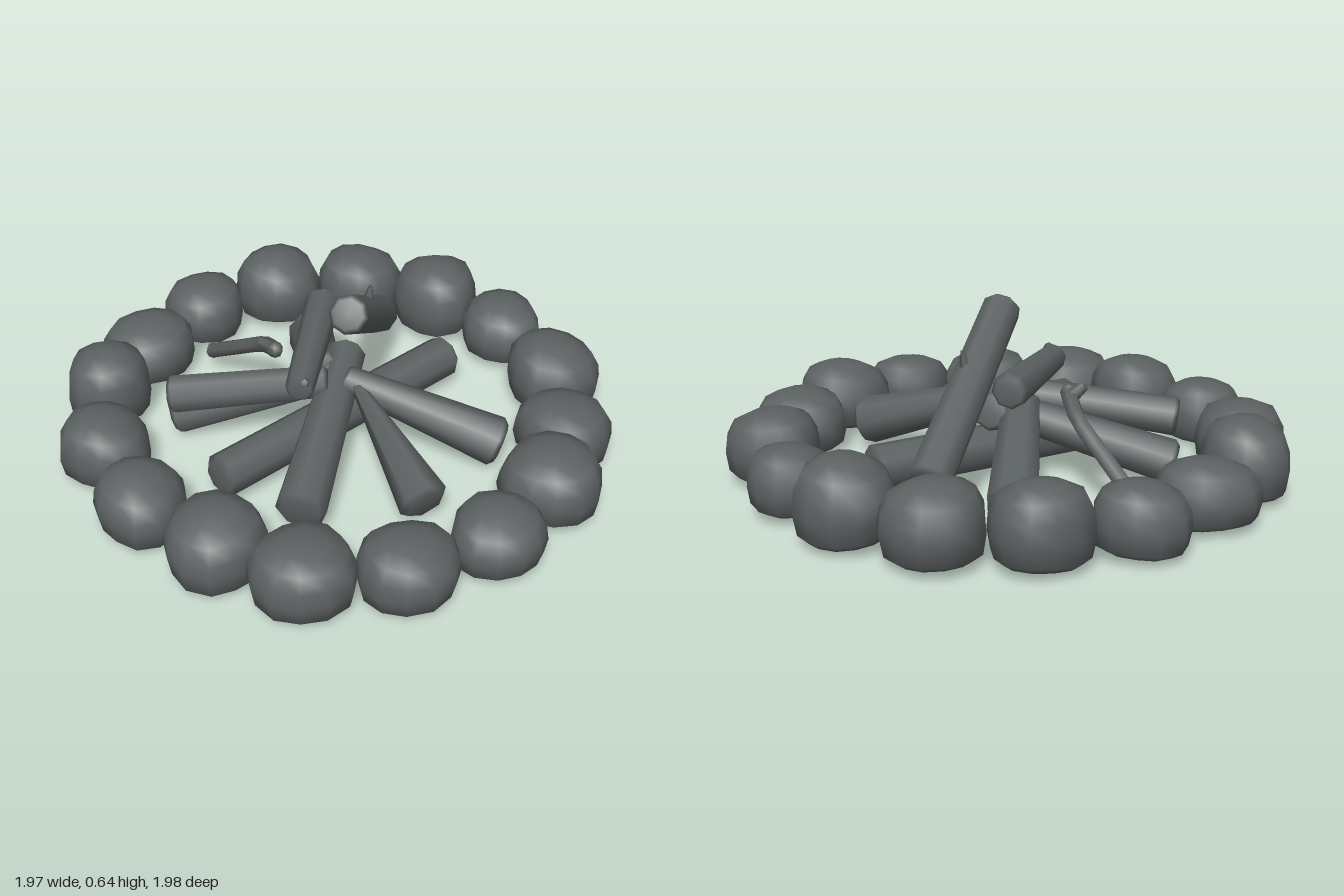
import * as THREE from 'three';
import { mergeVertices } from 'three/addons/utils/BufferGeometryUtils.js';

const stoneGrey = new THREE.MeshStandardMaterial({ color: 0x5c6161 });
stoneGrey.name = 'charcoalGrey';

const V = (a) => new THREE.Vector3(...a);

// Weld the seam of a moved geometry and smooth it
function smooth(geo) {
  geo.deleteAttribute('uv');
  geo.deleteAttribute('normal');
  const g = mergeVertices(geo, 1e-4);
  g.computeVertexNormals();
  return g;
}

// Rounded stone with a flat base and slightly lumpy sides
function stone(x, z, rx, rz, bottom, top, seed) {
  const profile = [[0, 0], [0.72, 0], [0.93, 0.1], [1, 0.38], [0.96, 0.62], [0.8, 0.84], [0.45, 0.96], [0, 1]];
  const geo = new THREE.LatheGeometry(profile.map((p) => new THREE.Vector2(...p)), 12);
  const pos = geo.attributes.position;
  for (let i = 0; i < pos.count; i++) {
    const px = pos.getX(i), py = pos.getY(i), pz = pos.getZ(i);
    const r = Math.hypot(px, pz);
    const a = r > 1e-4 ? Math.atan2(pz, px) : 0;
    const k = 1 + r * (0.035 * Math.sin(3 * a + seed * 2.1) + 0.025 * Math.cos(4 * a + seed * 1.3 + py * 2));
    const lift = py > 0.5 ? 0.05 * r * Math.sin(a + seed * 1.7) : 0.03 * r * Math.cos(2 * a + seed);
    pos.setXYZ(i, px * k * rx, (py + lift) * (top - bottom), pz * k * rz);
  }
  const mesh = new THREE.Mesh(smooth(geo), stoneGrey);
  mesh.name = 'ringStone';
  mesh.position.set(x, bottom, z);
  return mesh;
}

// Log between two points with chamfered ends
function log(name, from, to, r0, r1, sides = 8) {
  const a = V(from), dir = V(to).sub(a), len = dir.length();
  const c0 = r0 * 0.22, c1 = r1 * 0.22;
  const pts = [[0, 0], [r0 * 0.78, 0], [r0, c0], [r1, len - c1], [r1 * 0.78, len], [0, len]];
  const geo = new THREE.LatheGeometry(pts.map((p) => new THREE.Vector2(...p)), sides);
  const mesh = new THREE.Mesh(geo, stoneGrey);
  mesh.name = name;
  mesh.position.copy(a);
  mesh.quaternion.setFromUnitVectors(new THREE.Vector3(0, 1, 0), dir.normalize());
  return mesh;
}

export function createModel() {
  const model = new THREE.Group();
  model.name = 'campfire';

  // Ring of stones: x, z, half width, half depth, base, top
  const ring = new THREE.Group();
  ring.name = 'stoneRing';
  [
    [-0.16, -0.845, 0.16, 0.155, 0.03, 0.25],
    [0.17, -0.835, 0.17, 0.165, 0.03, 0.29],
    [0.475, -0.71, 0.17, 0.175, 0.03, 0.28],
    [0.69, -0.465, 0.165, 0.18, 0.03, 0.3],
    [0.81, -0.165, 0.15, 0.165, 0.04, 0.25],
    [0.81, 0.18, 0.17, 0.18, 0.03, 0.27],
    [0.655, 0.475, 0.17, 0.18, 0.03, 0.24],
    [0.44, 0.7, 0.175, 0.18, 0.035, 0.27],
    [0.14, 0.835, 0.165, 0.155, 0.03, 0.23],
    [-0.185, 0.82, 0.18, 0.16, 0.02, 0.23],
    [-0.495, 0.68, 0.18, 0.18, 0.02, 0.24],
    [-0.69, 0.435, 0.17, 0.175, 0.02, 0.26],
    [-0.825, 0.13, 0.155, 0.165, 0.02, 0.24],
    [-0.82, -0.21, 0.16, 0.18, 0.02, 0.25],
    [-0.69, -0.52, 0.155, 0.16, 0.03, 0.3],
    [-0.455, -0.7, 0.18, 0.165, 0.03, 0.24],
  ].forEach((s, i) => ring.add(stone(...s, i + 1)));
  model.add(ring);

  // Logs leaning together: outer end, inner end, radii
  const logs = new THREE.Group();
  logs.name = 'logPile';
  [
    ['crossLog', [-0.54, 0.11, 0.13], [0.53, 0.12, -0.12], 0.08, 0.08],
    ['frontLeftLog', [0.42, 0.11, 0.43], [0.0, 0.29, 0.04], 0.09, 0.05],
    ['frontLog', [0.02, 0.1, 0.58], [0.02, 0.29, 0.08], 0.09, 0.02, 6],
    ['frontRightLog', [-0.38, 0.11, 0.43], [0.1, 0.28, -0.12], 0.09, 0.07],
    ['backRightLog', [-0.52, 0.085, -0.31], [0.02, 0.26, -0.03], 0.08, 0.06],
    ['backRightUpperLog', [-0.56, 0.23, -0.24], [-0.06, 0.29, 0.03], 0.07, 0.06],
    ['backLog', [0.16, 0.085, -0.54], [-0.04, 0.28, -0.05], 0.09, 0.07],
    ['tallLog', [0.41, 0.16, -0.43], [-0.02, 0.6, 0.1], 0.075, 0.07],
    ['topLog', [0.09, 0.4, -0.29], [-0.23, 0.38, 0.14], 0.065, 0.05],
  ].forEach((l) => logs.add(log(...l)));
  model.add(logs);

  // Broken twig stubs on the upper logs
  logs.add(log('tallLogSpike', [0.18, 0.36, -0.14], [0.207, 0.515, -0.145], 0.04, 0.006, 5));
  logs.add(log('topLogStub', [-0.16, 0.37, 0.08], [-0.22, 0.42, 0.16], 0.03, 0.015, 5));

  // Bent branch leaning in from the back
  const path = new THREE.CatmullRomCurve3([
    [-0.235, 0.1, -0.59], [-0.19, 0.2, -0.43], [-0.155, 0.28, -0.3], [-0.17, 0.34, -0.17],
  ].map(V));
  const branch = new THREE.Mesh(new THREE.TubeGeometry(path, 8, 0.03, 6), stoneGrey);
  branch.name = 'thinBranch';
  logs.add(branch);
  [0, 1].forEach((t) => {
    const cap = new THREE.Mesh(new THREE.SphereGeometry(0.031, 6, 4), stoneGrey);
    cap.name = 'branchEnd';
    cap.position.copy(path.getPoint(t));
    logs.add(cap);
  });
  logs.add(log('branchStub', [-0.17, 0.33, -0.2], [-0.215, 0.37, -0.21], 0.025, 0.018, 6));
  return model;
}
